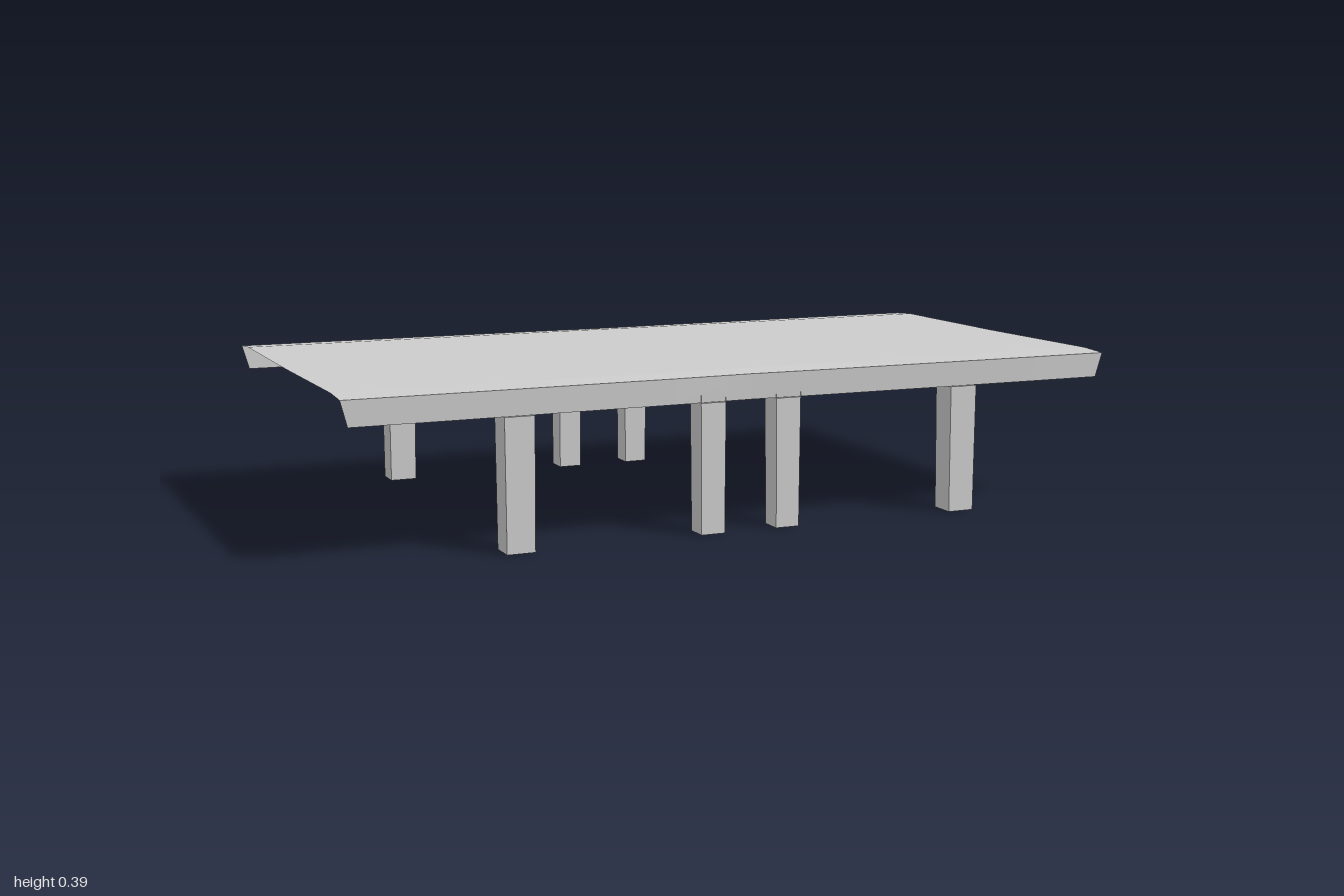
import * as THREE from 'three';

const material = new THREE.MeshStandardMaterial({ color: 0xcccccc, flatShading: true, side: THREE.DoubleSide });

// Long edges bow slightly inwards towards the middle
const stations = [-1, -0.8, -0.5, -0.2, 0, 0.2, 0.5, 0.8, 1];
const edgeZ = (x) => {
  const a = Math.abs(x);
  if (a < 0.2) return 0.503 + (a / 0.2) * 0.006;
  return Math.min(0.516, 0.509 + ((a - 0.2) / 0.6) * 0.007);
};

// Surface through rows of points
function loft(rows, name) {
  const n = rows[0].length;
  const index = [];
  for (let i = 0; i < rows.length - 1; i++) {
    for (let j = 0; j < n - 1; j++) {
      const a = i * n + j, b = a + 1, c = a + n, d = c + 1;
      index.push(a, b, c, b, d, c);
    }
  }
  const geometry = new THREE.BufferGeometry();
  geometry.setAttribute('position', new THREE.Float32BufferAttribute(rows.flat(2), 3));
  geometry.setIndex(index);
  geometry.computeVertexNormals();
  const mesh = new THREE.Mesh(geometry, material);
  mesh.name = name;
  return mesh;
}

// Tapered post: bottom and top rectangles in x, depth measured towards the centre
function leg(x0, x1, side, name) {
  const group = new THREE.Group();
  group.name = name;
  const height = 0.318;
  const outer = edgeZ((x0 + x1) / 2) - 0.001;
  const geometry = new THREE.BoxGeometry(x1 - x0, height, 1);
  const p = geometry.attributes.position;
  for (let i = 0; i < p.count; i++) {
    const top = p.getY(i) > 0;
    const inner = p.getZ(i) * side < 0;
    const taper = top ? 0 : 0.002 * Math.sign(p.getX(i));
    p.setXYZ(i, p.getX(i) + (x0 + x1) / 2 - taper, top ? height : 0, side * (inner ? (top ? 0.443 : 0.447) : outer));
  }
  geometry.computeVertexNormals();
  const post = new THREE.Mesh(geometry, material);
  post.name = 'post';
  group.add(post);
  return group;
}

// Upright web on each flank of an inner leg, reaching the tabletop
function web(x, side) {
  const outer = edgeZ(x) - 0.001;
  return loft([
    [[x, 0.316, side * outer], [x, 0.316, side * 0.443]],
    [[x, 0.38, side * outer], [x, 0.386, side * 0.441]],
  ], 'legWeb');
}

export function createModel() {
  const model = new THREE.Group();
  model.name = 'table';

  // Thin top, falling slightly at its long edges
  const top = stations.map((x) => [
    [x, 0.381, -edgeZ(x)], [x, 0.386, -0.44], [x, 0.384, 0], [x, 0.386, 0.44], [x, 0.381, edgeZ(x)],
  ].reverse());
  model.add(loft(top, 'tabletop'));

  for (const side of [1, -1]) {
    const label = side > 0 ? 'front' : 'back';

    // Apron with slanted ends
    const apron = [0.381, 0.319].map((y, row) => stations.map((x) => [
      x * (row ? 0.983 : 1), y, side * (edgeZ(x) - row * 0.003),
    ]));
    model.add(loft(apron, label + 'Apron'));

    // Legs, mirrored left and right
    for (const s of [1, -1]) {
      const hand = s > 0 ? 'Left' : 'Right';
      const span = (a, b) => [s * a, s * b].sort((m, n) => m - n);
      model.add(leg(...span(0.55, 0.623), side, label + hand + 'OuterLeg'));
      const inner = leg(...span(0.067, 0.132), side, label + hand + 'InnerLeg');
      inner.add(web(s * 0.067, side), web(s * 0.132, side));
      model.add(inner);
    }
  }
  return model;
}
